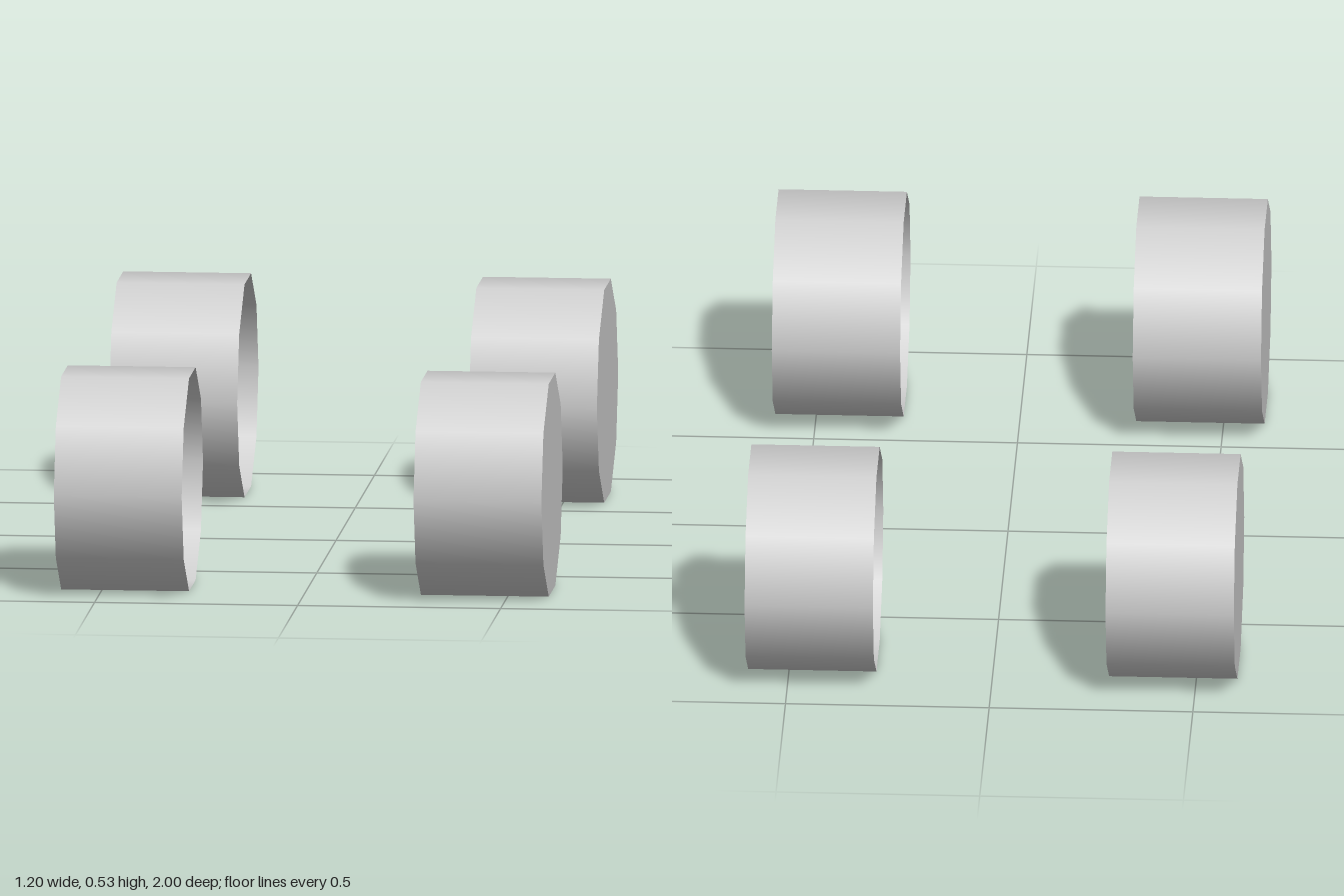
import * as THREE from 'three';

const RADIUS = 0.278, WIDTH = 0.315, SIDES = 10, HUB = 0.09;
const CENTRE_Y = RADIUS * Math.cos(Math.PI / SIDES);

export function createModel() {
  const model = new THREE.Group();
  model.name = 'wheelSet';

  const grey = new THREE.MeshStandardMaterial({ color: 0xcccccc, side: THREE.DoubleSide });
  grey.name = 'light grey';

  // Smooth open drum, a flat outer face and a barely raised hub disc, axle along x
  const treadGeometry = new THREE.CylinderGeometry(RADIUS, RADIUS, WIDTH, SIDES, 1, true).rotateZ(Math.PI / 2);
  const faceGeometry = new THREE.CircleGeometry(RADIUS, SIDES).rotateY(Math.PI / 2).translate(WIDTH / 2, 0, 0);
  const hubGeometry = new THREE.CircleGeometry(HUB, SIDES).rotateY(Math.PI / 2).translate(WIDTH / 2 + 0.001, 0, 0);

  const parts = { tread: treadGeometry, outerFace: faceGeometry, hub: hubGeometry };

  // Four wheels, closed on the outside and open towards the middle
  for (const [side, sx] of [['Left', 1], ['Right', -1]]) {
    for (const [end, sz] of [['front', 1], ['back', -1]]) {
      const wheel = new THREE.Group();
      wheel.name = `${end}${side}Wheel`;
      for (const [name, geometry] of Object.entries(parts)) {
        const mesh = new THREE.Mesh(geometry, grey);
        mesh.name = name;
        wheel.add(mesh);
      }
      wheel.position.set(sx * 0.443, CENTRE_Y, sz * 0.722);
      if (sx < 0) wheel.rotation.y = Math.PI;
      model.add(wheel);
    }
  }
  return model;
}
